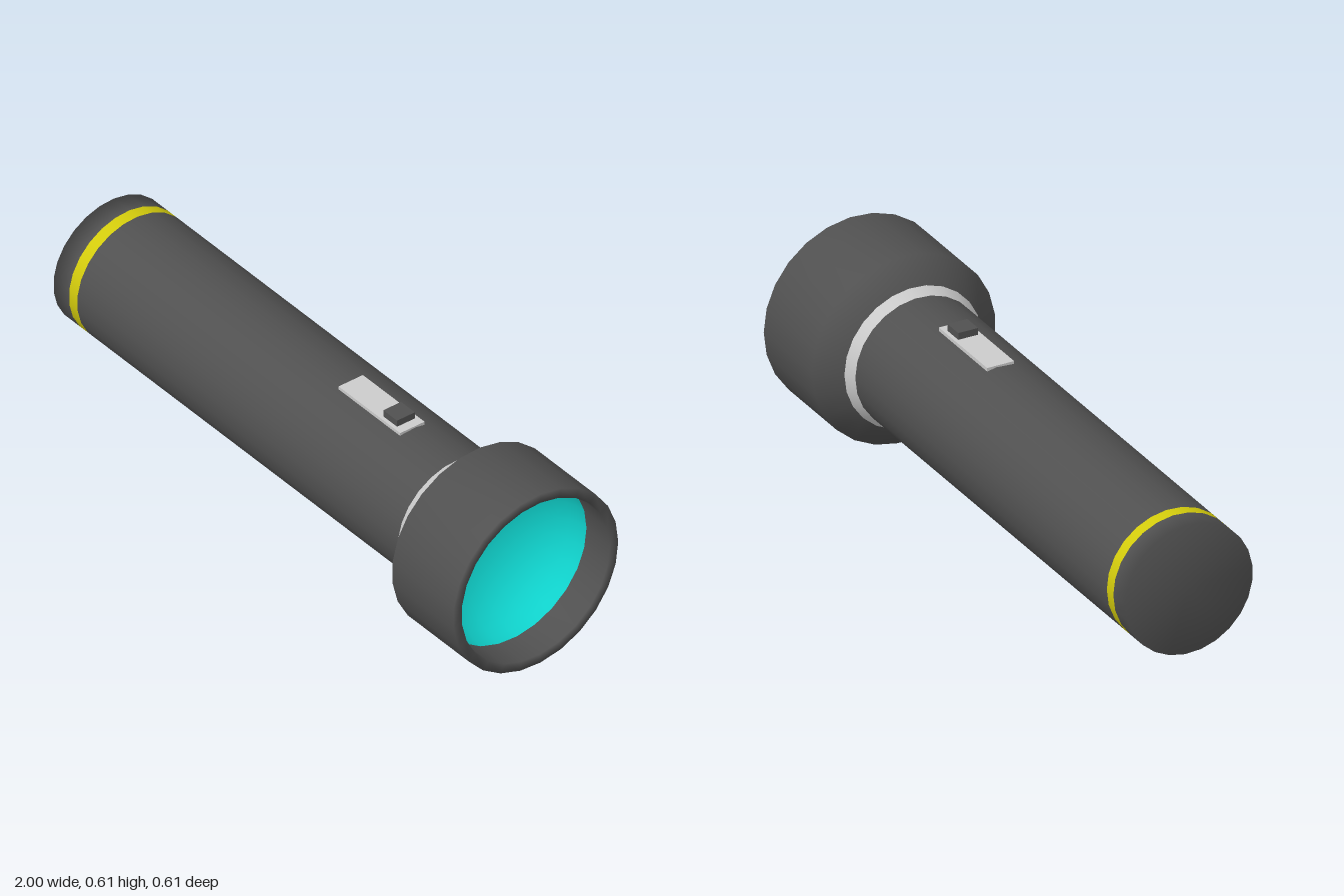
import * as THREE from 'three';

const SIDES = 25;
const AXIS_Y = 0.305;

const dark = new THREE.MeshStandardMaterial({ color: 0x505050 });
const grey = new THREE.MeshStandardMaterial({ color: 0xcccccc });
const yellow = new THREE.MeshStandardMaterial({ color: 0xd2ca0c });
const teal = new THREE.MeshStandardMaterial({ color: 0x0fd0ca });

// Turned part along the x axis; profile is a list of [x, radius]
function turned(name, profile, material) {
  const points = profile.map(([x, r]) => new THREE.Vector2(r, x));
  const geometry = new THREE.LatheGeometry(points, SIDES, Math.PI);
  geometry.rotateZ(-Math.PI / 2);
  const mesh = new THREE.Mesh(geometry, material);
  mesh.name = name;
  mesh.position.y = AXIS_Y;
  return mesh;
}

// Box given by its x and y ranges and its width, centred on z
function block(name, x0, x1, y0, y1, width, material) {
  const mesh = new THREE.Mesh(new THREE.BoxGeometry(x1 - x0, y1 - y0, width), material);
  mesh.name = name;
  mesh.position.set((x0 + x1) / 2, (y0 + y1) / 2, 0);
  return mesh;
}

export function createModel() {
  const group = new THREE.Group();
  group.name = 'flashlight';
  const R = 0.212;

  // Handle: closed tail cap, coloured band, long tube
  group.add(turned('tailCap', [[-1, 0], [-1, R], [-0.927, R]], dark));
  group.add(turned('tailBand', [[-0.927, R], [-0.888, R]], yellow));
  group.add(turned('bodyTube', [[-0.888, R], [0.62, R]], dark));

  // Collar and flared head with a flat rim and inner wall
  group.add(turned('collar', [[0.62, R], [0.653, 0.23]], grey));
  group.add(turned('head', [
    [0.653, 0.23], [0.712, 0.306], [1, 0.306], [1, 0.275], [0.89, 0.275],
  ], dark));

  // Concave reflector set back inside the head
  const bowl = [];
  for (let i = 0; i <= 10; i++) {
    const a = (i / 10) * Math.PI / 2;
    bowl.push([0.89 - 0.21 * Math.sin(a), i === 10 ? 0 : 0.275 * Math.cos(a)]);
  }
  group.add(turned('reflector', bowl, teal));

  // Sliding switch on top
  group.add(block('switchPlate', 0.13, 0.42, 0.49, 0.522, 0.09, grey));
  group.add(block('switchButton', 0.325, 0.39, 0.51, 0.544, 0.066, dark));

  return group;
}
